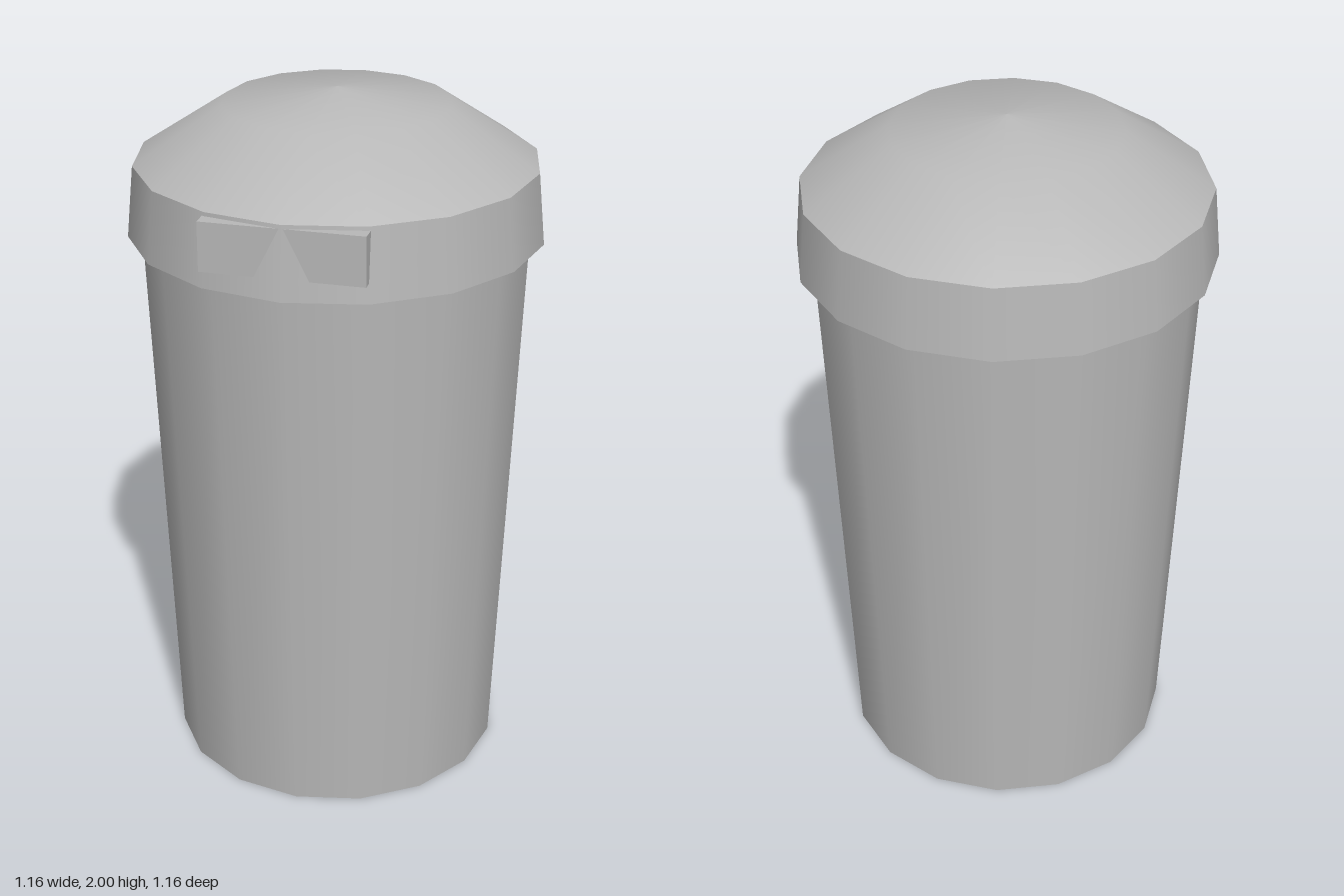
import * as THREE from 'three';

const SIDES = 16;

export function createModel() {
  const group = new THREE.Group();
  const grey = new THREE.MeshStandardMaterial({ color: 0xb8b8b8 });
  grey.name = 'grey';

  const add = (name, geometry, y, z = 0) => {
    const mesh = new THREE.Mesh(geometry, grey);
    mesh.name = name;
    mesh.position.set(0, y, z);
    group.add(mesh);
  };

  // Tapered body with a closed base
  add('body', new THREE.CylinderGeometry(0.54, 0.48, 1.6, SIDES), 0.8);

  // Overhanging lid rim, open at the top where the dome sits
  const rim = new THREE.CylinderGeometry(0.56, 0.58, 0.2, SIDES, 1, true);
  add('lidRim', rim, 1.7);
  const underside = new THREE.CircleGeometry(0.58, SIDES);
  underside.rotateX(Math.PI / 2);
  add('lidUnderside', underside, 1.6);

  // Shallow smooth dome, profile running from edge to apex
  const profile = [[0.56, 0], [0.315, 0.16], [0, 0.2]].map(([r, y]) => new THREE.Vector2(r, y));
  add('lidDome', new THREE.LatheGeometry(profile, SIDES), 1.8);

  // Front handle block, partly sunk into the rim
  add('handle', new THREE.BoxGeometry(0.44, 0.135, 0.08), 1.722, 0.52);

  return group;
}
